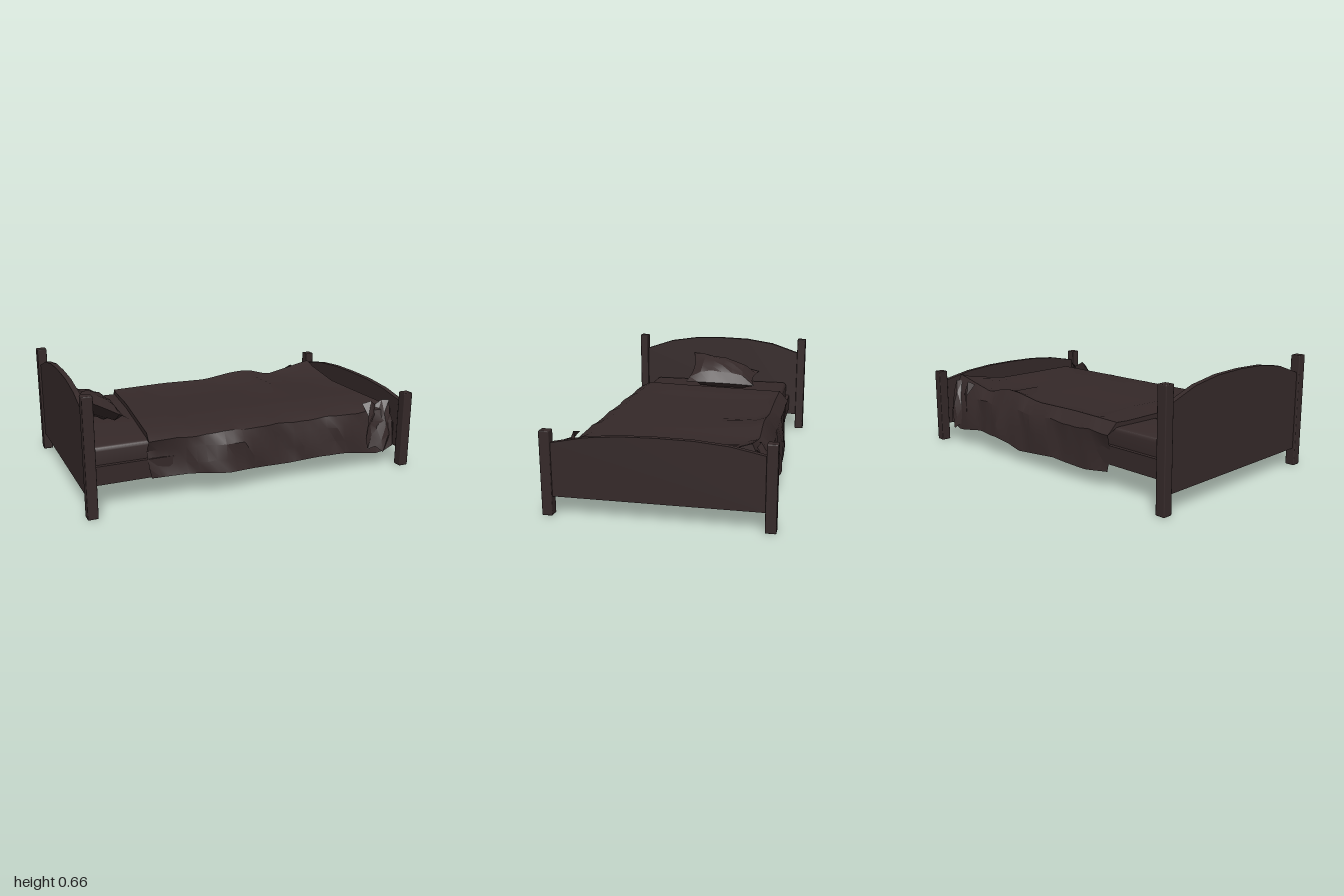
import * as THREE from 'three';
import { toCreasedNormals } from 'three/addons/utils/BufferGeometryUtils.js';
import { RoundedBoxGeometry } from 'three/addons/geometries/RoundedBoxGeometry.js';

// Linear lookup in a short list of [position, value] pairs
function lookup(table, x) {
  if (x <= table[0][0]) return table[0][1];
  for (let i = 1; i < table.length; i++) {
    const [x0, y0] = table[i - 1], [x1, y1] = table[i];
    if (x <= x1) return y0 + (y1 - y0) * (x - x0) / (x1 - x0);
  }
  return table[table.length - 1][1];
}

// Surface from a grid of points: point(i, j) returns [x, y, z]
function gridSurface(nu, nv, point, crease) {
  const positions = [], index = [];
  for (let i = 0; i <= nu; i++) for (let j = 0; j <= nv; j++) positions.push(...point(i, j));
  for (let i = 0; i < nu; i++) for (let j = 0; j < nv; j++) {
    const a = i * (nv + 1) + j, b = a + nv + 1;
    index.push(a, a + 1, b, b, a + 1, b + 1);
  }
  const geometry = new THREE.BufferGeometry();
  geometry.setAttribute('position', new THREE.Float32BufferAttribute(positions, 3));
  geometry.setIndex(index);
  return toCreasedNormals(geometry, crease);
}

export function createModel() {
  const bed = new THREE.Group();
  const wood = new THREE.MeshStandardMaterial({ color: 0x352929 });
  wood.name = 'dark brown';
  const cloth = wood.clone();
  cloth.side = THREE.DoubleSide;

  function add(name, geometry, x = 0, y = 0, z = 0, material = wood) {
    const mesh = new THREE.Mesh(geometry, material);
    mesh.name = name;
    mesh.position.set(x, y, z);
    bed.add(mesh);
    return mesh;
  }

  // Corner posts and arched end boards
  function endBoard(name, x, postHeight, sideY, rise) {
    for (const s of [-1, 1])
      add(name + 'Post', new RoundedBoxGeometry(0.058, postHeight, 0.058, 1, 0.006), x, postHeight / 2, s * 0.586);
    const shape = new THREE.Shape();
    shape.moveTo(-0.57, 0.105);
    shape.lineTo(0.57, 0.105);
    for (const [z, f] of [[0.57, 0], [0.375, 0.66], [0.19, 0.94], [0, 1], [-0.19, 0.94], [-0.375, 0.66], [-0.57, 0]])
      shape.lineTo(z, sideY + rise * f);
    const geometry = new THREE.ExtrudeGeometry(shape, { depth: 0.03, bevelEnabled: false });
    geometry.rotateY(-Math.PI / 2);
    add(name, geometry, x + 0.015);
  }
  endBoard('headboard', -0.971, 0.662, 0.558, 0.099);
  endBoard('footboard', 0.971, 0.462, 0.395, 0.06);

  // Side rails, base and mattress
  for (const s of [-1, 1])
    add('sideRail', new THREE.BoxGeometry(1.92, 0.105, 0.03), 0, 0.1925, s * 0.493);
  add('base', new THREE.BoxGeometry(1.92, 0.08, 0.97), 0, 0.182, 0);
  add('mattress', toCreasedNormals(new RoundedBoxGeometry(1.91, 0.15, 0.97, 2, 0.025), 0.6), 0, 0.27, 0);

  // Blanket: cross-section draped over the mattress and swept along the bed
  const hemFront = [[-0.63, 0.14], [-0.35, 0.135], [-0.1, 0.125], [0.2, 0.11], [0.4, 0.125], [0.55, 0.125], [0.7, 0.1], [0.82, 0.085], [0.91, 0.13]];
  const hemBack = [[-0.52, 0.1], [-0.35, 0.08], [-0.1, 0.1], [0.2, 0.075], [0.4, 0.125], [0.6, 0.12], [0.8, 0.1], [0.91, 0.15]];
  const outFront = [[-0.63, 0.525], [-0.4, 0.53], [-0.2, 0.592], [0, 0.56], [0.2, 0.545], [0.5, 0.572], [0.7, 0.55], [0.88, 0.575]];
  const outBack = [[-0.52, 0.515], [-0.2, 0.55], [0, 0.56], [0.3, 0.562], [0.42, 0.588], [0.6, 0.55], [0.75, 0.583], [0.9, 0.56]];
  const topBack = [[-0.6, 0.37], [-0.2, 0.38], [0.1, 0.375], [0.3, 0.405], [0.42, 0.41], [0.58, 0.365], [0.75, 0.4], [0.9, 0.433]];
  const leftEdge = [-0.62, -0.635, -0.635, -0.63, -0.62, -0.59, -0.56, -0.545, -0.54, -0.53, -0.52, -0.51];
  const columns = 30;
  const blanket = gridSurface(columns, 11, (i, j) => {
    const t = Math.min(Math.max(i - 1, 0) / (columns - 2), 1);
    const x = leftEdge[j] + (0.905 - leftEdge[j]) * t;
    const zf = lookup(outFront, x), zb = lookup(outBack, x), tb = lookup(topBack, x);
    const fold = 0.013 * Math.sin(x * 19 + j * 1.7) + 0.007 * Math.sin(x * 41 + j * 2.6);
    const layer = x < -0.35 ? 0.008 : 0;
    const section = [
      [lookup(hemFront, x), zf],
      [0.2, zf - 0.012 + fold],
      [0.285, zf - 0.025 + fold * 0.7],
      [0.345 + fold * 0.3, 0.515],
      [0.367 + layer, 0.45],
      [0.365 + layer, 0.16],
      [0.365 + layer, -0.14],
      [Math.max(tb - 0.025, 0.36) + layer, -0.4],
      [tb, -0.475],
      [0.31 + fold * 0.4, -0.532],
      [0.2, -zb + 0.012 + fold * 0.7],
      [lookup(hemBack, x), -zb],
    ];
    let [y, z] = section[j];
    const onTop = j > 2 && j < 9;
    if (i === 0 && onTop) y = 0.343;                       // tuck at the turned-down edge
    if (i === columns) { if (onTop) y = 0.22; z *= 0.985; } // drop behind the footboard
    return [x + (i === columns ? 0.012 : 0), y, z];
  }, 0.55);
  add('blanket', blanket, 0, 0, 0, cloth);

  // Bunched corner folds at the foot end
  for (const s of [-1, 1]) {
    const bunch = gridSurface(4, 4, (i, j) => {
      const u = i / 4, v = j / 4;
      return [0.73 + 0.18 * u + 0.012 * Math.sin(v * 7 + u * 3), 0.39 - 0.27 * v + 0.02 * Math.sin(u * 9),
        s * (0.49 + 0.085 * Math.sqrt(v) + 0.018 * Math.sin(u * 8 + v * 4))];
    }, 0.3);
    add('cornerFold', bunch, 0, 0, 0, cloth);
  }

  // Pillow: puffed sheet with pinched corners, leaning on the headboard
  const n = 6;
  const pillowSide = side => gridSurface(n, n, (i, j) => {
    const u = i / n, v = j / n, a = 2 * u - 1, b = 2 * v - 1;
    const puff = Math.pow((1 - a * a) * (1 - b * b), 0.45);
    const dent = 0.007 * Math.sin(i * 2.3 + j * 3.7) * puff;
    const x = -0.79 + a * (0.147 - 0.02 * (1 - b * b));
    const z = -0.043 + b * (0.243 - 0.03 * (1 - a * a));
    const edgeY = (1 - u) * (0.42 + 0.122 * v) + u * (0.375 + 0.01 * v);
    const y = edgeY + (side > 0 ? 0.075 : -0.08) * puff + dent;
    return [x, Math.max(y, 0.344), z];
  }, 0.35);
  add('pillowTop', pillowSide(1), 0, 0, 0, cloth);
  add('pillowUnderside', pillowSide(-1), 0, 0, 0, cloth);

  return bed;
}
